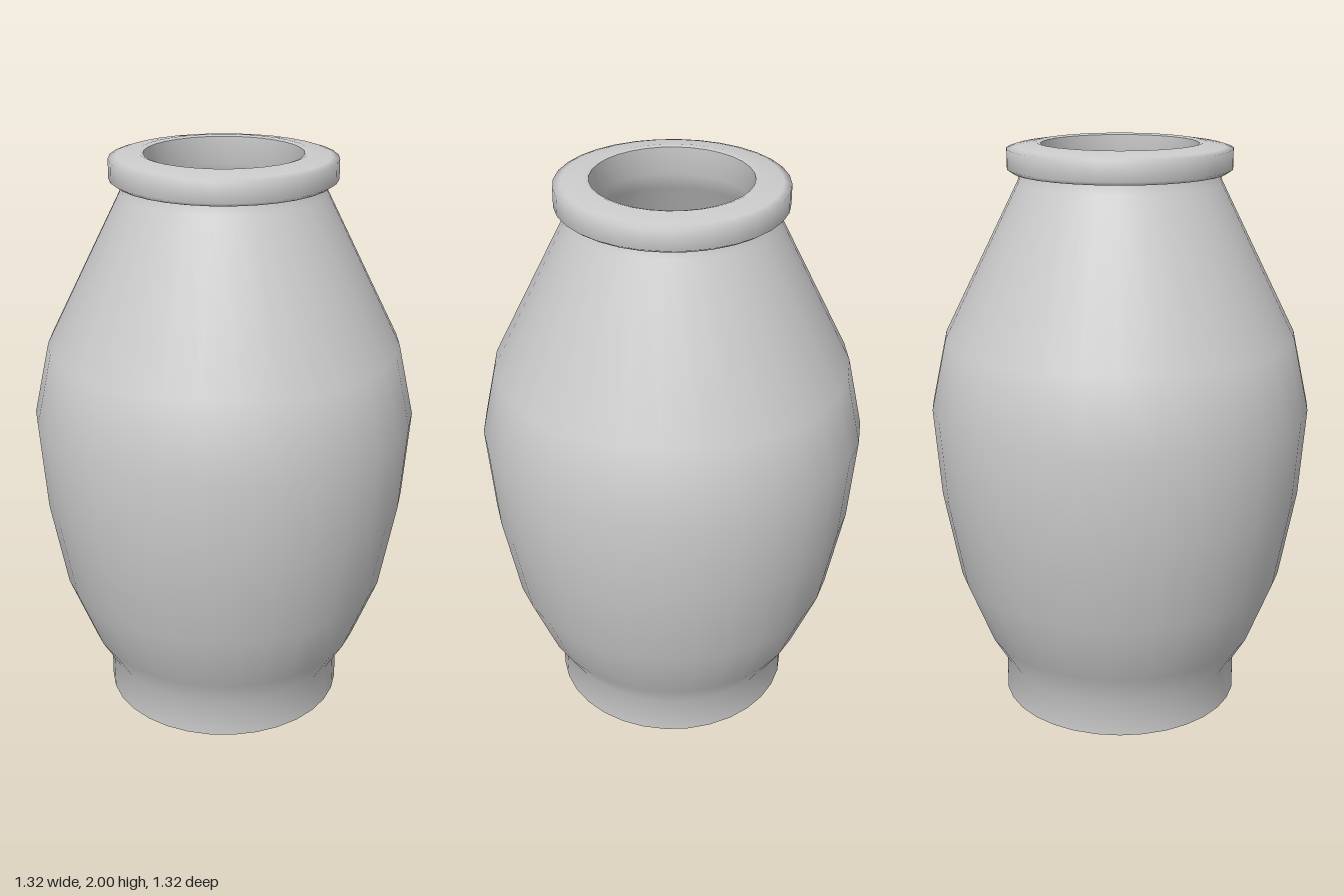
import * as THREE from 'three';

const SEGMENTS = 32;

export function createModel() {
  const vase = new THREE.Group();
  vase.name = 'vase';
  const material = new THREE.MeshStandardMaterial({ color: 0xcccccc });

  // Profiles are [radius, height] pairs; outer surfaces run upwards
  const turn = (name, profile) => {
    const points = profile.map(([r, y]) => new THREE.Vector2(r, y));
    const mesh = new THREE.Mesh(new THREE.LatheGeometry(points, SEGMENTS), material);
    mesh.name = name;
    vase.add(mesh);
  };

  // Flat underside
  turn('base', [[0, 0], [0.425, 0]]);

  // Straight foot, swelling belly and tapering shoulder
  turn('body', [
    [0.425, 0], [0.425, 0.14], [0.49, 0.25], [0.58, 0.48], [0.637, 0.79],
    [0.66, 1.1], [0.605, 1.35], [0.345, 1.87], [0.336, 1.9],
  ]);

  // Projecting lip, gently domed on top
  turn('lip', [
    [0.336, 1.9], [0.363, 1.903], [0.38, 1.915], [0.38, 1.98],
    [0.355, 1.988], [0.28, 2], [0.265, 1.995],
  ]);

  // Hollow inside, running from the mouth down to a rounded floor
  turn('interior', [
    [0.265, 1.995], [0.264, 1.9], [0.29, 1.84], [0.54, 1.34], [0.59, 1.1],
    [0.57, 0.79], [0.51, 0.49], [0.42, 0.27], [0.3, 0.16], [0.15, 0.12], [0, 0.11],
  ]);

  return vase;
}
